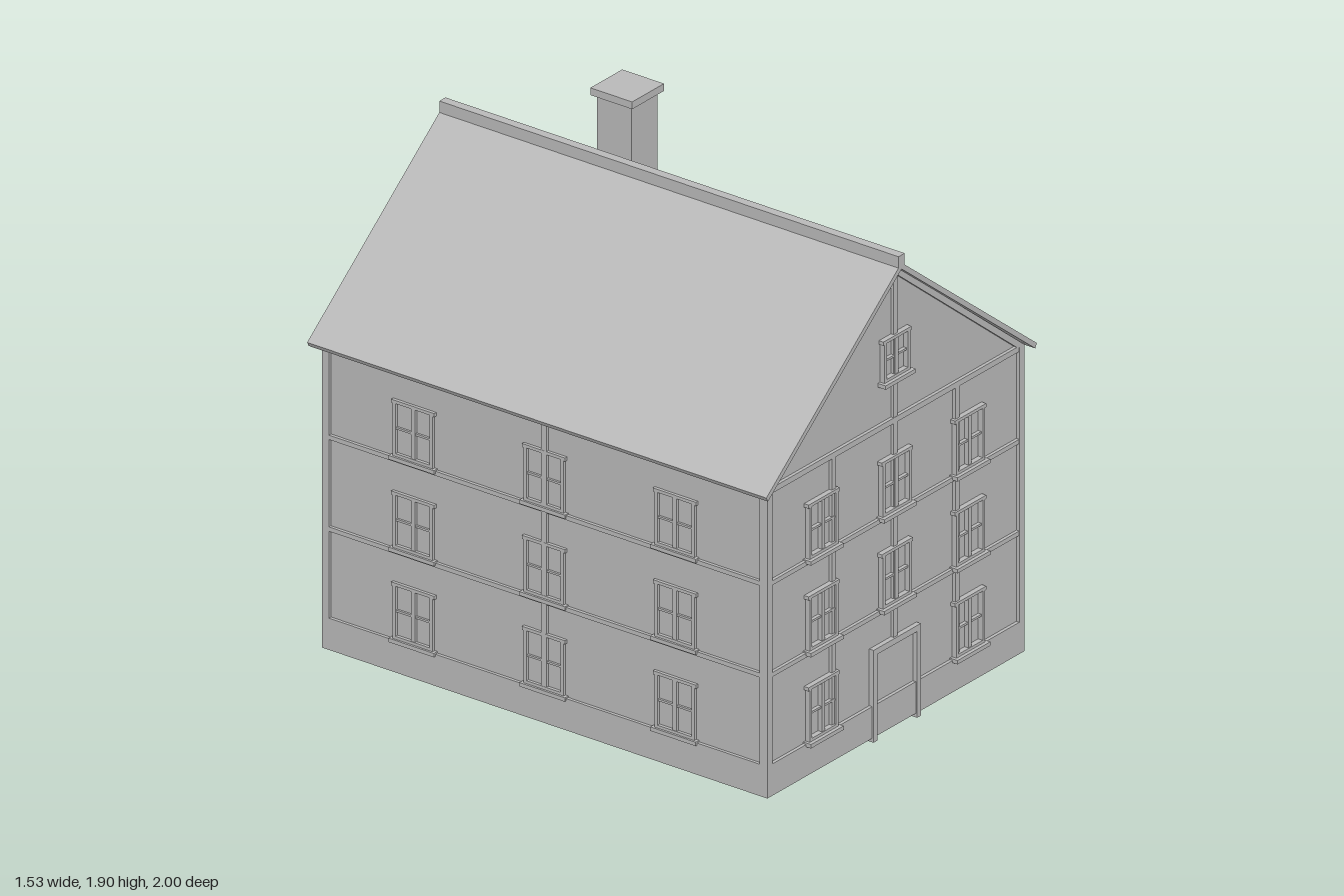
import * as THREE from 'three';

const plaster = new THREE.MeshStandardMaterial({ color: 0xb8b8b8 });
plaster.name = 'light grey';

// Box given by its lower and upper corners
function box(parent, name, x0, x1, y0, y1, z0, z1) {
  const m = new THREE.Mesh(new THREE.BoxGeometry(x1 - x0, y1 - y0, z1 - z0), plaster);
  m.position.set((x0 + x1) / 2, (y0 + y1) / 2, (z0 + z1) / 2);
  m.name = name;
  parent.add(m);
  return m;
}

function polygon(points) {
  return new THREE.Shape(points.map(([x, y]) => new THREE.Vector2(x, y)));
}

// Outline in x and y, extruded from z0 to z1
function prism(parent, name, shape, z0, z1) {
  const g = new THREE.ExtrudeGeometry(shape, { depth: z1 - z0, bevelEnabled: false });
  g.translate(0, 0, z0);
  const m = new THREE.Mesh(g, plaster);
  m.name = name;
  parent.add(m);
}

// Two-leaf window standing on its sill; z = 0 is the wall surface
function makeWindow(w, h, depth, sillDepth) {
  const g = new THREE.Group();
  g.name = 'window';
  const a = w / 2, t = 0.013, back = -0.01, leaf = depth * 0.7;
  for (const s of [-1, 1]) {
    const c = s * (a - t / 2);
    box(g, 'windowJamb', c - t / 2, c + t / 2, 0, h, back, depth);
    const e = s * (a + 0.001);
    box(g, 'headEnd', e - 0.006, e + 0.006, h - 0.014, h, back, depth);
    const b = s * a / 2;
    box(g, 'glazingBar', b - a / 2 + 0.006, b + a / 2 - 0.006, h / 2 - 0.004, h / 2 + 0.004, back, leaf);
  }
  box(g, 'windowHead', -a, a, h - 0.012, h, back, depth);
  box(g, 'bottomRail', -a, a, 0, 0.012, back, depth);
  box(g, 'mullion', -0.009, 0.009, 0, h, back, depth * 0.85);
  if (sillDepth) box(g, 'windowSill', -a - 0.012, a + 0.012, -0.014, 0.001, back, sillDepth);
  return g;
}

// Frame around a doorway, reaching the ground
function doorFrame(parent, z0, z1) {
  const g = new THREE.Group();
  g.name = 'doorFrame';
  box(g, 'doorPostLeft', 0.113, 0.134, 0, 0.355, z0, z1);
  box(g, 'doorPostRight', -0.134, -0.113, 0, 0.355, z0, z1);
  box(g, 'doorLintel', -0.113, 0.113, 0.332, 0.355, z0, z1);
  parent.add(g);
}

export function createModel() {
  const house = new THREE.Group();
  house.name = 'house';
  const X = 0.728, WX = 0.716;          // timber face and wall face at the sides
  const ZF = 0.975, WF = 0.962;         // the same at the front
  const ZB = -0.965, WB = -0.952;       // the same at the back
  const floors = [0.142, 0.492, 0.845]; // window bottoms
  const rails = [[0.471, 0.488], [0.824, 0.841], [1.178, 1.2]];

  // Plinth and walls with gables
  box(house, 'plinth', -X, X, 0.015, 0.137, ZB, ZF);
  prism(house, 'walls', polygon([[-WX, 0.13], [WX, 0.13], [WX, 1.205], [0, 1.78], [-WX, 1.205]]), WB, WF);

  // Corner posts
  for (const s of [-1, 1]) {
    const c = s * (X - 0.0145);
    box(house, 'cornerPost', c - 0.0145, c + 0.0145, 0.13, 1.195, ZF - 0.035, ZF);
    box(house, 'cornerPost', c - 0.0145, c + 0.0145, 0.13, 1.195, ZB, ZB + 0.03);
  }

  // Timber framing on both gable ends
  for (const [z0, z1] of [[WF - 0.01, ZF], [ZB, WB + 0.01]]) {
    for (const [y0, y1] of rails) box(house, 'gableRail', -X + 0.002, X - 0.002, y0, y1, z0, z1 - 0.0005);
    for (const x of [-0.35, 0.35]) box(house, 'gablePost', x - 0.011, x + 0.011, 0.13, 1.18, z0 + 0.001, z1 - 0.001);
    box(house, 'centrePost', -0.011, 0.011, 0.34, 1.77, z0 + 0.001, z1 - 0.001);
    const rafter = polygon([[-X, 1.195], [X, 1.195], [0, 1.778]]);
    rafter.holes.push(new THREE.Path([
      new THREE.Vector2(-0.685, 1.2), new THREE.Vector2(0, 1.75), new THREE.Vector2(0.685, 1.2)]));
    prism(house, 'gableRafters', rafter, z0, z1);
  }

  // Timber framing on both long sides
  for (const s of [-1, 1]) {
    const x0 = s > 0 ? WX - 0.01 : -X, x1 = s > 0 ? X : -WX + 0.01;
    for (const [y0, y1] of rails) box(house, 'sideRail', x0, x1, y0, y1, ZB + 0.002, ZF - 0.002);
    box(house, 'sidePost', x0 + 0.0005, x1 - 0.0005, 0.13, 1.18, -0.012, 0.012);
  }

  // Windows on three floors of every side
  for (const y of floors) {
    for (const x of [-0.415, 0, 0.415]) {
      if (x === 0 && y < 0.2) continue;
      const front = makeWindow(0.162, 0.213, 0.02, 0.034);
      front.position.set(x, y, WF);
      const back = makeWindow(0.162, 0.213, 0.003, 0);
      back.position.set(x, y, WB);
      back.rotation.y = Math.PI;
      house.add(front, back);
    }
    for (const z of [-0.57, 0, 0.57]) {
      for (const s of [-1, 1]) {
        const side = makeWindow(0.174, 0.216, 0.012, 0.02);
        side.position.set(s * WX, y, z);
        side.rotation.y = s * Math.PI / 2;
        house.add(side);
      }
    }
  }
  const attic = makeWindow(0.146, 0.163, 0.02, 0.034);
  attic.position.set(0, 1.357, WF);
  house.add(attic);

  // Door frames at the front and back
  doorFrame(house, 0.945, 0.981);
  doorFrame(house, -0.967, -0.935);

  // Roof, ridge cap and chimney
  prism(house, 'roof', polygon([
    [0, 1.8], [-0.766, 1.193], [-0.757, 1.176], [0, 1.776], [0.757, 1.176], [0.766, 1.193]]), -1, 1);
  box(house, 'ridgeCap', -0.0175, 0.0175, 1.78, 1.83, -1, 1);
  prism(house, 'chimney', polygon([[0.293, 1.56], [0.442, 1.442], [0.442, 1.872], [0.293, 1.872]]), -0.552, -0.402);
  box(house, 'chimneyCap', 0.276, 0.457, 1.868, 1.896, -0.568, -0.386);

  return house;
}
